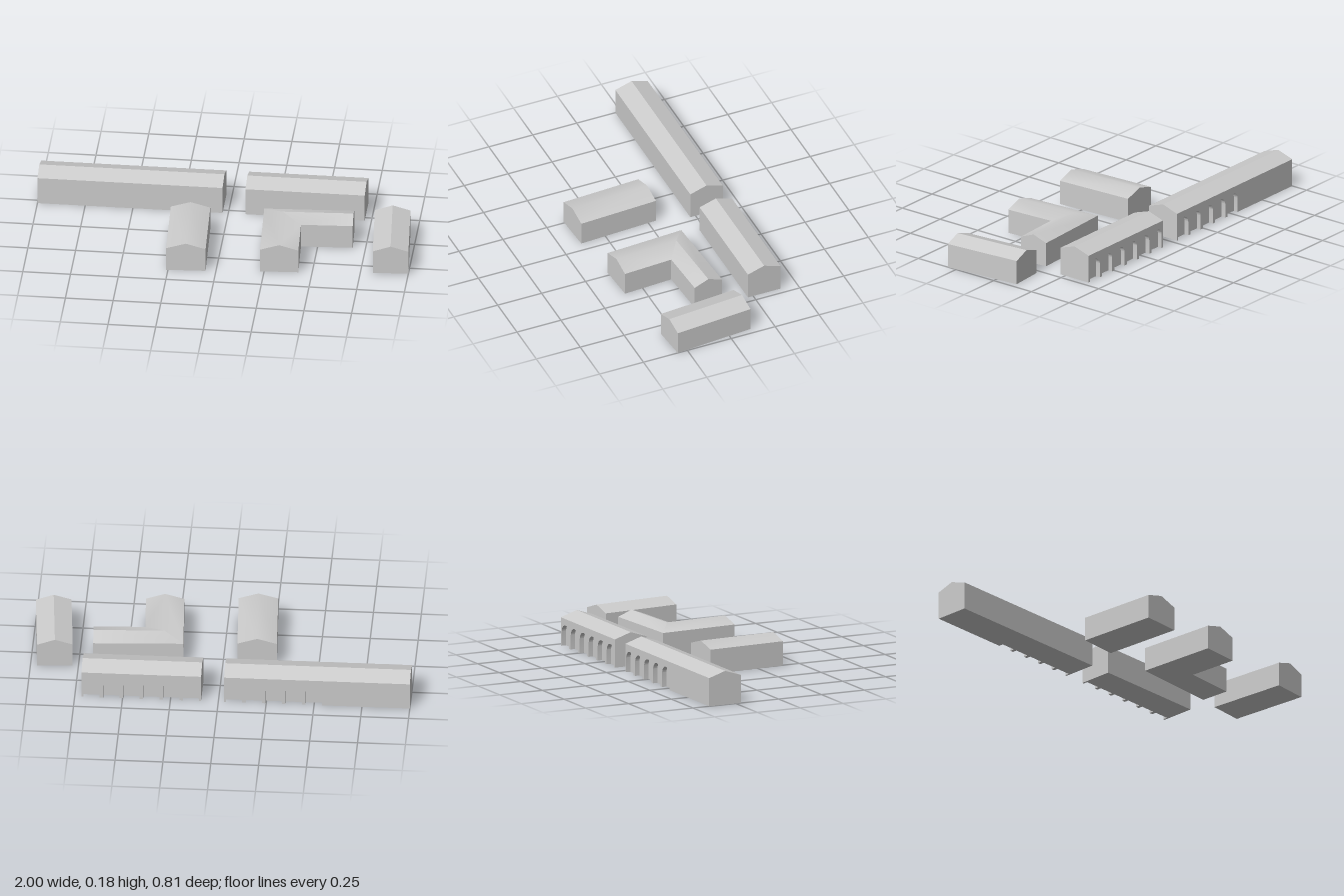
import * as THREE from 'three';
import { toCreasedNormals } from 'three/addons/utils/BufferGeometryUtils.js';

const material = new THREE.MeshStandardMaterial({ color: 0xcccccc });
const CREASE = THREE.MathUtils.degToRad(34.5);

function addMesh(parent, name, geometry) {
  const mesh = new THREE.Mesh(toCreasedNormals(geometry, CREASE), material);
  mesh.name = name;
  parent.add(mesh);
  return mesh;
}

function extrude(shape, depth) {
  return new THREE.ExtrudeGeometry(shape, { depth, bevelEnabled: false, curveSegments: 14 });
}

// Gabled block along z, centred; `inset` cuts the +x wall back under the eave
function gableBlock(width, length, eave, ridge, inset = 0) {
  const w = width / 2;
  const points = [[-w, 0], [w - inset, 0]];
  if (inset) points.push([w - inset, eave]);
  points.push([w, eave], [0, ridge], [-w, eave]);
  const shape = new THREE.Shape(points.map(([x, y]) => new THREE.Vector2(x, y)));
  return extrude(shape, length).translate(0, 0, -length / 2);
}

// Wall layer with round-arched niches open to the ground
function arcadeWall(x0, x1, height, depth, firstBay, bays, pitch) {
  const r = 0.0425, spring = 0.073;
  const shape = new THREE.Shape();
  shape.moveTo(x0, 0);
  for (let i = 0; i < bays; i++) {
    const c = firstBay + (i + 0.5) * pitch;
    shape.lineTo(c - r, 0);
    shape.lineTo(c - r, spring);
    shape.absarc(c, spring, r, Math.PI, 0, true);
    shape.lineTo(c + r, 0);
  }
  shape.lineTo(x1, 0);
  shape.lineTo(x1, height);
  shape.lineTo(x0, height);
  shape.closePath();
  return extrude(shape, depth);
}

// Long range with an arcade along its back
function longRange(name, x0, x1, firstBay, bays) {
  const group = new THREE.Group();
  group.name = name;
  const width = 0.185, zMid = -0.3125, depth = 0.025, eave = 0.15;
  const body = addMesh(group, 'rangeBody', gableBlock(width, x1 - x0, eave, 0.18, depth));
  body.rotation.y = Math.PI / 2;
  body.position.set((x0 + x1) / 2, 0, zMid);
  const arcade = addMesh(group, 'arcadeWall', arcadeWall(x0, x1, eave, depth, firstBay, bays, 0.104));
  arcade.position.z = zMid - width / 2;
  return group;
}

// L-shaped house: hipped at the outer corner, gabled at both ends
function cornerHouse() {
  const e = 0.13, h = 0.16;
  const plan = [[0, 0], [0.47, 0], [0.47, 0.16], [0.2, 0.16], [0.2, 0.43], [0, 0.43]];
  const eaves = plan.map(([x, z]) => [x, e, z]);
  const base = plan.map(([x, z]) => [x, 0, z]);
  const [p0, p1, p2, p3, p4, p5] = eaves;
  const corner = [0.1, h, 0.08], wingEnd = [0.47, h, 0.08], mainEnd = [0.1, h, 0.43];
  const [b0, b1, b2, b3, b4, b5] = base;
  const faces = [
    // roof slopes
    [p0, corner, wingEnd, p1], [p3, p2, wingEnd, corner],
    [p0, p5, mainEnd, corner], [p3, corner, mainEnd, p4],
    // gables
    [p1, wingEnd, p2], [p4, mainEnd, p5],
    // floor
    [b0, b1, b2, b3], [b0, b3, b4, b5],
  ];
  // walls
  plan.forEach((_, i) => {
    const j = (i + 1) % plan.length;
    faces.push([base[i], eaves[i], eaves[j], base[j]]);
  });
  const positions = [];
  for (const f of faces) {
    for (let i = 1; i < f.length - 1; i++) positions.push(...f[0], ...f[i], ...f[i + 1]);
  }
  const geometry = new THREE.BufferGeometry();
  geometry.setAttribute('position', new THREE.Float32BufferAttribute(positions, 3));
  return geometry;
}

export function createModel() {
  const model = new THREE.Group();
  model.name = 'buildings';

  // Two long ranges at the back
  model.add(longRange('longRange', -1, -0.03, -0.55, 5));
  model.add(longRange('shortRange', 0.09, 0.715, 0.0905, 6));

  // Two detached houses
  const houses = [
    { name: 'rightHouse', width: 0.206, length: 0.435, x: -0.1675, z: 0.178, turn: 0.05 },
    { name: 'leftHouse', width: 0.186, length: 0.431, x: 0.89, z: 0.0975, turn: 0.081 },
  ];
  for (const { name, width, length, x, z, turn } of houses) {
    const house = addMesh(model, name, gableBlock(width, length, 0.13, 0.16));
    house.position.set(x, 0, z);
    house.rotation.y = turn;
  }

  // L-shaped house between them
  const corner = addMesh(model, 'cornerHouse', cornerHouse());
  corner.position.set(0.205, 0, -0.065);
  corner.rotation.y = 0.055;

  return model;
}
